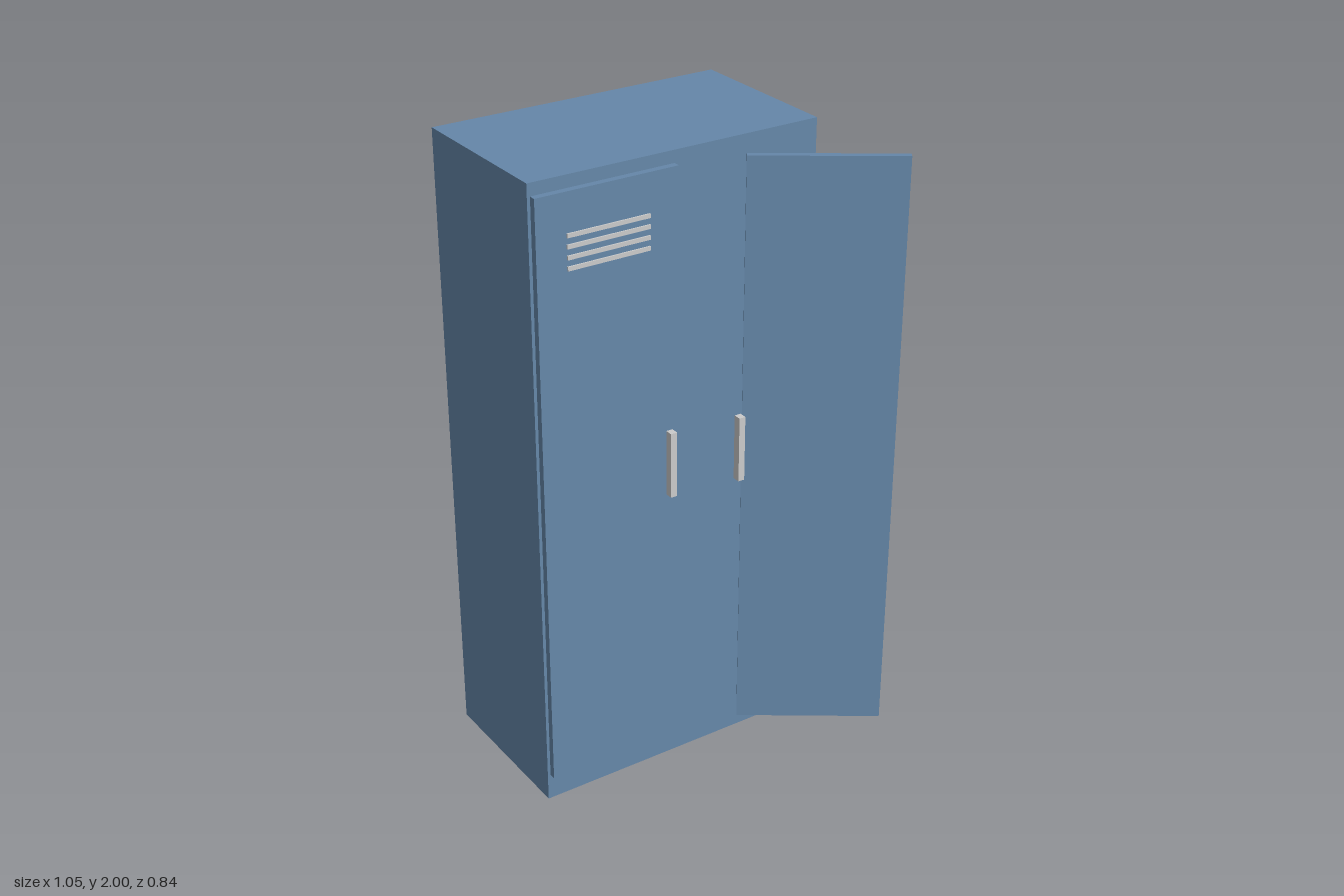
import * as THREE from 'three';

const steelBlue = new THREE.MeshStandardMaterial({ color: 0x6688aa });
const metal = new THREE.MeshStandardMaterial({ color: 0xcccccc });

export function createModel() {
  const model = new THREE.Group();
  model.name = 'locker';

  // Box part given by its size and centre
  function box(name, size, centre, material) {
    const mesh = new THREE.Mesh(new THREE.BoxGeometry(...size), material);
    mesh.name = name;
    mesh.position.set(...centre);
    model.add(mesh);
    return mesh;
  }

  // Cabinet body
  box('body', [0.946, 2, 0.526], [-0.051, 1, -0.161], steelBlue);

  // Doors: the right one closed, the left one swung open
  const doorSize = [0.453, 1.876, 0.021];
  box('rightDoor', doorSize, [-0.288, 1.024, 0.1125], steelBlue);
  const leftDoor = box('leftDoor', doorSize, [0.329, 1.024, 0.282], steelBlue);
  leftDoor.rotation.y = -0.6;

  // Upright handles
  const handleSize = [0.021, 0.21, 0.025];
  box('rightHandle', handleSize, [-0.093, 1.056, 0.1355], metal);
  box('leftHandle', handleSize, [0.1275, 1.056, 0.165], metal);

  // Ventilation slats on the closed door
  for (let i = 0; i < 4; i++) {
    box('ventSlat' + (i + 1), [0.264, 0.0125, 0.01], [-0.288, 1.838 - i * 0.0317, 0.123], metal);
  }

  return model;
}
